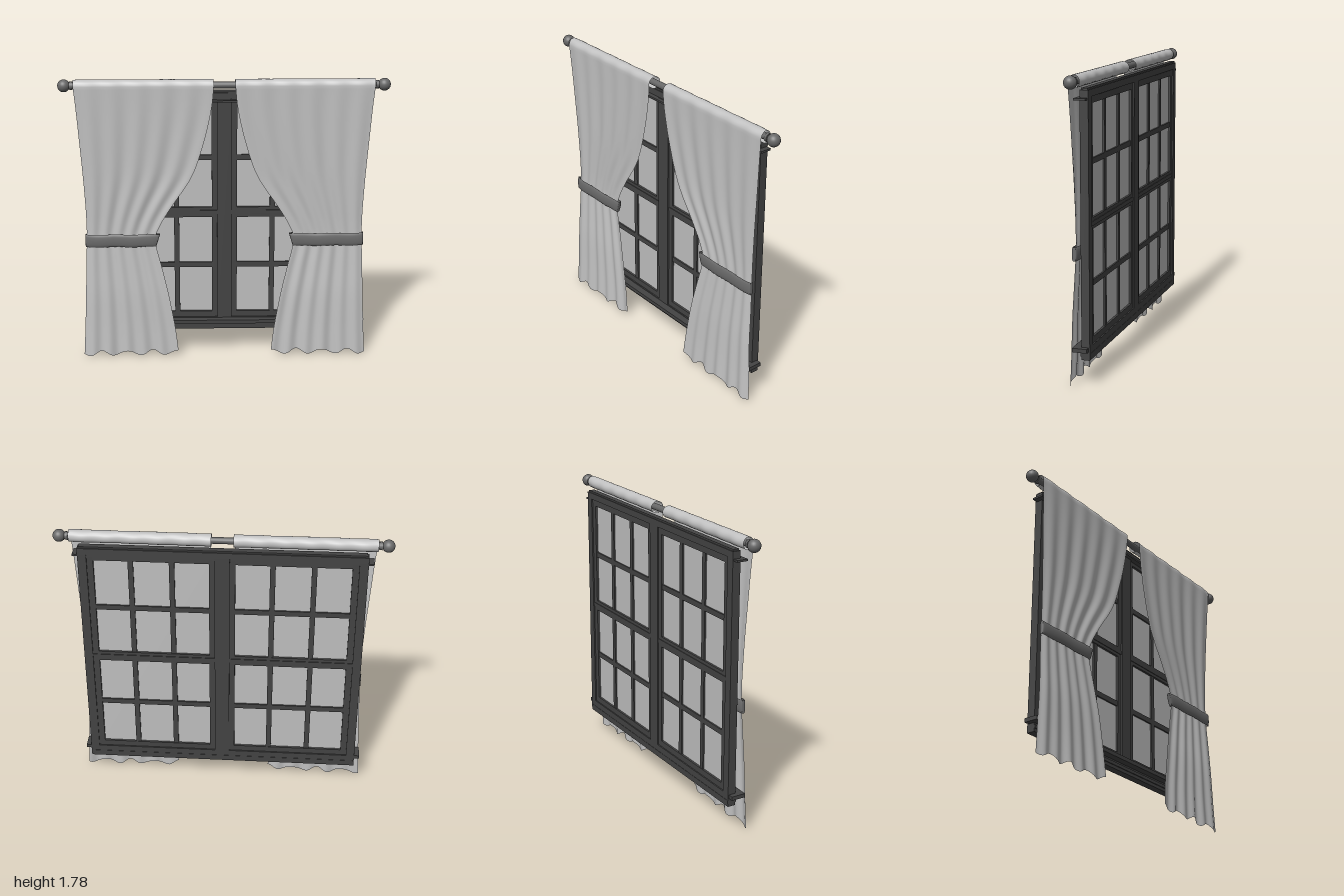
import * as THREE from 'three';

const mat = (name, color, side = THREE.FrontSide) => {
  const m = new THREE.MeshStandardMaterial({ color, side });
  m.name = name;
  return m;
};

// Grid surface: fn(u, v) -> [x, y, z]
function surface(nu, nv, fn) {
  const pos = [], idx = [];
  for (let j = 0; j <= nv; j++)
    for (let i = 0; i <= nu; i++) pos.push(...fn(i / nu, j / nv));
  for (let j = 0; j < nv; j++)
    for (let i = 0; i < nu; i++) {
      const a = j * (nu + 1) + i, b = a + nu + 1;
      idx.push(a, b, a + 1, a + 1, b, b + 1);
    }
  const g = new THREE.BufferGeometry();
  g.setAttribute('position', new THREE.Float32BufferAttribute(pos, 3));
  g.setIndex(idx);
  g.computeVertexNormals();
  return g;
}

// Curtain outline rows: y, inner x, outer x, depth
const ROWS = [
  [1.76, 0.065, 0.905, 0.042], [1.62, 0.08, 0.893, 0.038], [1.42, 0.125, 0.88, 0.033],
  [1.2, 0.2, 0.866, 0.028], [1.0, 0.33, 0.857, 0.024], [0.88, 0.4, 0.855, 0.022],
  [0.78, 0.43, 0.857, 0.023], [0.6, 0.39, 0.866, 0.032], [0.42, 0.35, 0.873, 0.042],
  [0.2, 0.313, 0.885, 0.047], [0.033, 0.295, 0.896, 0.052],
];
const spline = (k) => new THREE.SplineCurve(ROWS.map((r) => new THREE.Vector2(r[k], r[0])));
const INNER = spline(1), OUTER = spline(2), DEPTH = spline(3);
const ROD_Y = 1.76;

function curtainGeometry(s) {
  const loop = 0.25; // share of rows wrapped around the rod
  return surface(72, 64, (u, v) => {
    const fold = Math.cos(u * Math.PI * 11) + 0.35 * Math.sin(u * 17);
    if (v < loop) {
      const a = THREE.MathUtils.lerp(-1.2, -2 * Math.PI, v / loop);
      const r = 0.038 + 0.003 * fold;
      return [s * (0.065 + 0.84 * u), ROD_Y + 0.037 * Math.sin(a), r * Math.cos(a) + 0.003];
    }
    const t = (v - loop) / (1 - loop);
    const p = INNER.getPoint(t);
    const x = THREE.MathUtils.lerp(p.x, OUTER.getPoint(t).x, u);
    const hem = Math.max(0, (t - 0.85) / 0.15);
    const y = p.y + hem * (0.016 * Math.cos(u * Math.PI * 7.4) - 0.006 * (u - 0.4));
    const amp = 0.003 + 0.007 * t * t + 0.003 * Math.sin(Math.PI * Math.min(1, t * 1.8));
    return [s * x, y, DEPTH.getPoint(t).x + amp * fold * 0.8];
  });
}

// Flattened ring that gathers the curtain
function tieGeometry(s) {
  return surface(64, 10, (u, v) => {
    const a = u * Math.PI * 2, c = Math.cos(a), n = Math.sin(a);
    const bulge = Math.sqrt(Math.max(0, Math.sin(v * Math.PI)));
    const half = 0.013 + 0.009 * bulge;
    const inner = 0.425 - 0.025 * v;
    const x = THREE.MathUtils.lerp(inner, 0.864, 0.5 + 0.5 * Math.sign(c) * Math.pow(Math.abs(c), 0.6));
    const z = 0.025 + half * Math.sign(n) * Math.pow(Math.abs(n), 0.35);
    return [s * x, 0.746 + 0.082 * v + 0.002 * Math.sin(x * 30), z];
  });
}

export function createModel() {
  const model = new THREE.Group();
  const frameMat = mat('dark frame', 0x444444);
  const metalMat = mat('rod grey', 0x686868);
  const tieMat = mat('tie grey', 0x6c6c6c, THREE.DoubleSide);
  const clothMat = mat('curtain cloth', 0xc2c2c2, THREE.DoubleSide);
  const glassMat = mat('window glass', 0xc0c0c0);

  const add = (parent, name, geo, material) => {
    const m = new THREE.Mesh(geo, material);
    m.name = name;
    parent.add(m);
    return m;
  };
  // Box given by its limits
  const box = (parent, name, x0, x1, y0, y1, z0, z1, material = frameMat) =>
    add(parent, name, new THREE.BoxGeometry(x1 - x0, y1 - y0, z1 - z0), material)
      .position.set((x0 + x1) / 2, (y0 + y1) / 2, (z0 + z1) / 2);

  // Outer window frame
  const win = new THREE.Group();
  win.name = 'window';
  model.add(win);
  box(win, 'bottomRail', -0.853, 0.853, 0.17, 0.25, -0.062, -0.012);
  box(win, 'bottomStep', -0.853, 0.853, 0.19, 0.21, -0.064, -0.006);
  box(win, 'sill', -0.885, 0.885, 0.222, 0.246, -0.055, 0.034);
  box(win, 'topRail', -0.853, 0.853, 1.67, 1.71, -0.062, -0.012);
  box(win, 'topCap', -0.845, 0.845, 1.71, 1.72, -0.056, -0.018);
  box(win, 'topLedge', -0.885, 0.885, 1.655, 1.667, -0.055, 0.014);
  box(win, 'centerMullion', -0.045, 0.045, 0.25, 1.67, -0.062, -0.01);

  for (const s of [-1, 1]) {
    const sash = new THREE.Group();
    sash.name = s > 0 ? 'leftSash' : 'rightSash';
    win.add(sash);
    const part = (name, a, b, ...rest) =>
      box(sash, name, Math.min(s * a, s * b), Math.max(s * a, s * b), ...rest);
    part('jamb', 0.8, 0.853, 0.17, 1.71, -0.062, -0.012);
    part('outerStile', 0.762, 0.8, 0.25, 1.67, -0.054, -0.02);
    part('innerStile', 0.045, 0.078, 0.25, 1.67, -0.054, -0.02);
    part('lowerRail', 0.045, 0.8, 0.25, 0.288, -0.054, -0.02);
    part('upperRail', 0.045, 0.8, 1.63, 1.67, -0.054, -0.02);
    part('middleRail', 0.045, 0.8, 0.92, 0.985, -0.054, -0.02);
    part('middleBead', 0.045, 0.8, 0.94, 0.965, -0.058, -0.016);
    // Glazing bars
    for (const x of [0.282, 0.526]) part('verticalBar', x, x + 0.032, 0.27, 1.65, -0.05, -0.024);
    for (const y of [0.587, 1.287]) part('horizontalBar', 0.06, 0.78, y, y + 0.033, -0.05, -0.024);
    part('glass', 0.06, 0.78, 0.27, 1.65, -0.04, -0.034, glassMat);
  }

  // Curtain rod with ball ends
  const rod = add(model, 'rod', new THREE.CylinderGeometry(0.02, 0.02, 1.88, 20), metalMat);
  rod.rotation.z = Math.PI / 2;
  rod.position.y = ROD_Y;
  for (const s of [-1, 1]) {
    const collar = add(model, 'rodCollar', new THREE.CylinderGeometry(0.025, 0.025, 0.018, 20), metalMat);
    collar.rotation.z = Math.PI / 2;
    collar.position.set(s * 0.918, ROD_Y, 0);
    add(model, 'rodBall', new THREE.SphereGeometry(0.038, 24, 16), metalMat).position.set(s * 0.962, ROD_Y, 0);

    // Gathered curtains and their ties
    const side = s > 0 ? 'left' : 'right';
    add(model, side + 'Curtain', curtainGeometry(s), clothMat);
    add(model, side + 'CurtainTie', tieGeometry(s), tieMat);
  }
  return model;
}
